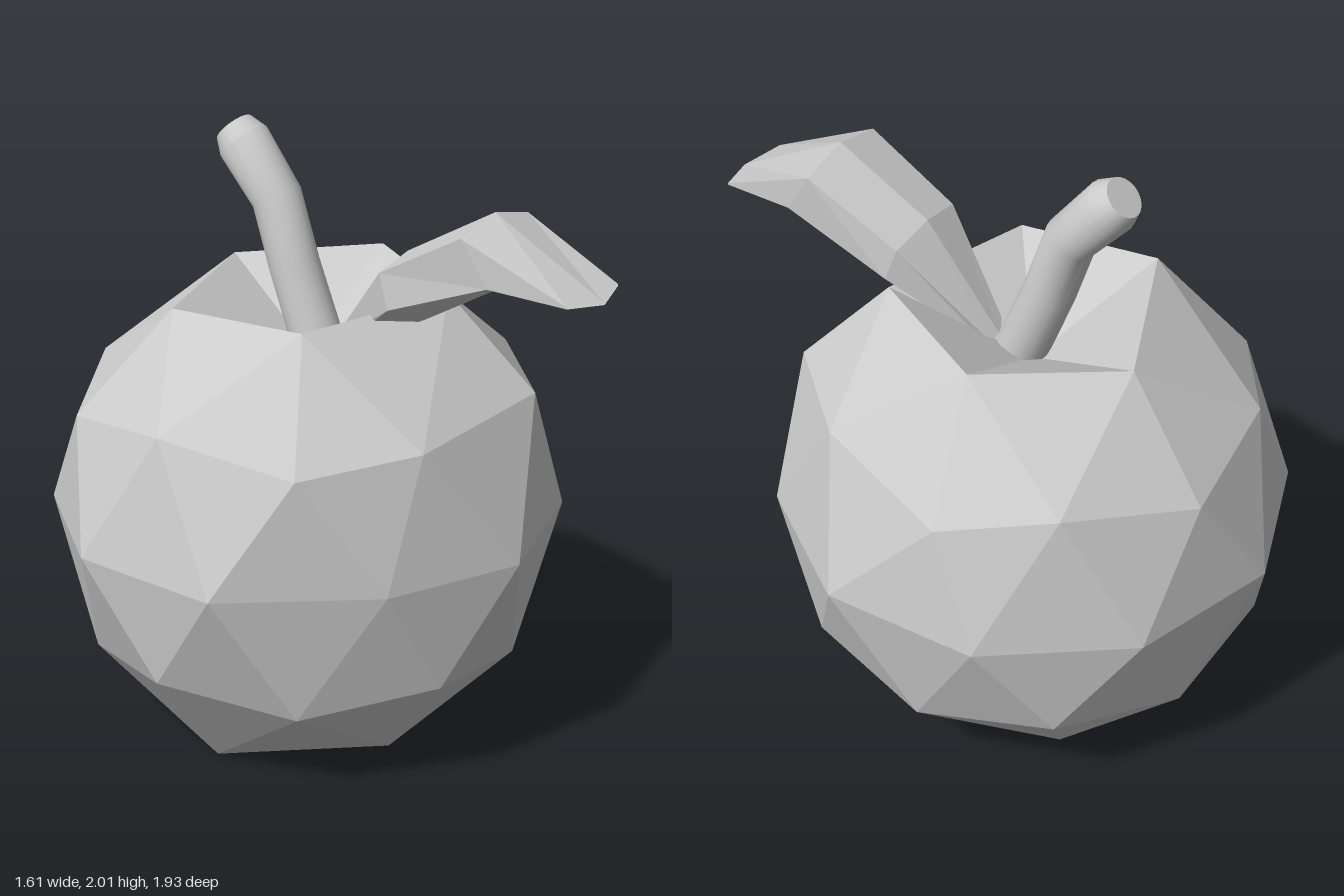
import * as THREE from 'three';
import { toCreasedNormals } from 'three/addons/utils/BufferGeometryUtils.js';

const flat = new THREE.MeshStandardMaterial({ color: 0xcccccc, flatShading: true, side: THREE.DoubleSide });
const smooth = new THREE.MeshStandardMaterial({ color: 0xcccccc });

function named(name, geometry, material) {
  const mesh = new THREE.Mesh(geometry, material);
  mesh.name = name;
  return mesh;
}

// Fruit: icosphere with a vertex at each pole, both poles pushed in, a few corners nudged by hand
function fruitGeometry() {
  const geo = new THREE.IcosahedronGeometry(1, 1);
  geo.rotateZ(-Math.atan(2 / (1 + Math.sqrt(5))));
  const nudged = [
    // rim of the top hollow
    [-0.41, 1.48, -0.33], [0.16, 1.48, -0.56], [0.47, 1.51, -0.17], [0.2, 1.5, 0.29], [-0.35, 1.48, 0.14],
    // shoulder
    [0.76, 1.14, -0.23], [0.6, 1.21, -0.57], [0.29, 1.2, 0.57], [0.61, 1.22, 0.24], [-0.27, 1.16, 0.54],
    // waist
    [-0.43, 0.74, 0.53],
    // rim of the bottom hollow
    [0.37, 0.02, 0.13], [-0.12, 0.02, 0.31], [-0.48, 0, -0.12], [-0.12, 0, -0.6], [0.38, 0.07, -0.46],
  ].map((p) => new THREE.Vector3(...p));
  const pos = geo.attributes.position;
  const v = new THREE.Vector3();
  for (let i = 0; i < pos.count; i++) {
    v.fromBufferAttribute(pos, i);
    if (v.y > 0.95) v.set(0.01, 1.27, -0.12);
    else if (v.y < -0.95) v.set(0, 0.18, -0.12);
    else {
      v.set(v.x * 0.845, 0.75 + v.y * 0.84, v.z * 0.845 - 0.125);
      const target = nudged.find((p) => p.distanceTo(v) < 0.16);
      if (target) v.copy(target);
    }
    pos.setXYZ(i, v.x, v.y, v.z);
  }
  geo.computeVertexNormals();
  return geo;
}

// Stem: cylinder whose rings follow a bent path leaning back, [y, z, radius]
function stemGeometry() {
  const path = [
    [1.2, -0.04, 0.085], [1.36, -0.105, 0.085], [1.55, -0.18, 0.083],
    [1.76, -0.25, 0.083], [1.92, -0.385, 0.088], [1.96, -0.425, 0.066],
  ];
  const last = path.length - 1;
  const geo = new THREE.CylinderGeometry(1, 1, 1, 20, last);
  const pos = geo.attributes.position;
  for (let i = 0; i < pos.count; i++) {
    const k = Math.round((pos.getY(i) + 0.5) * last);
    const [y, z, r] = path[k];
    const a = path[Math.max(k - 1, 0)], b = path[Math.min(k + 1, last)];
    const len = Math.hypot(b[0] - a[0], b[1] - a[1]);
    const ty = (b[0] - a[0]) / len, tz = (b[1] - a[1]) / len;
    const side = pos.getZ(i) * r;
    pos.setXYZ(i, 0.01 + pos.getX(i) * r, y - tz * side, z + ty * side);
  }
  return toCreasedNormals(geo, 0.5);
}

// Leaf: six-sided cross-sections from base to tip
function leafGeometry() {
  const cx = 0.035;
  const sections = [
    // top half-width, bottom half-width, [y, z] of top ridge, top edge, bottom edge, bottom keel
    [0.045, 0.04, [1.34, -0.01], [1.33, -0.01], [1.31, 0.01], [1.3, 0.01]],
    [0.16, 0.17, [1.67, 0.25], [1.64, 0.26], [1.53, 0.3], [1.46, 0.32]],
    [0.178, 0.17, [1.85, 0.57], [1.81, 0.57], [1.67, 0.66], [1.655, 0.66]],
    [0.14, 0.14, [1.645, 0.96], [1.66, 0.92], [1.655, 0.92], [1.64, 0.96]],
  ];
  const points = [];
  for (const [wt, wb, ridge, top, bottom, keel] of sections) {
    points.push(
      [cx, ...ridge], [cx + wt, ...top], [cx + wb, ...bottom],
      [cx, ...keel], [cx - wb, ...bottom], [cx - wt, ...top],
    );
  }
  const index = [];
  for (let i = 0; i < sections.length - 1; i++) {
    for (let j = 0; j < 6; j++) {
      const a = i * 6 + j, b = i * 6 + ((j + 1) % 6);
      index.push(a, a + 6, b, b, a + 6, b + 6);
    }
  }
  const geo = new THREE.BufferGeometry();
  geo.setAttribute('position', new THREE.Float32BufferAttribute(points.flat(), 3));
  geo.setIndex(index);
  const out = geo.toNonIndexed();
  out.computeVertexNormals();
  return out;
}

export function createModel() {
  const model = new THREE.Group();
  model.name = 'apple';
  model.add(
    named('fruit', fruitGeometry(), flat),
    named('stem', stemGeometry(), smooth),
    named('leaf', leafGeometry(), flat),
  );
  return model;
}
